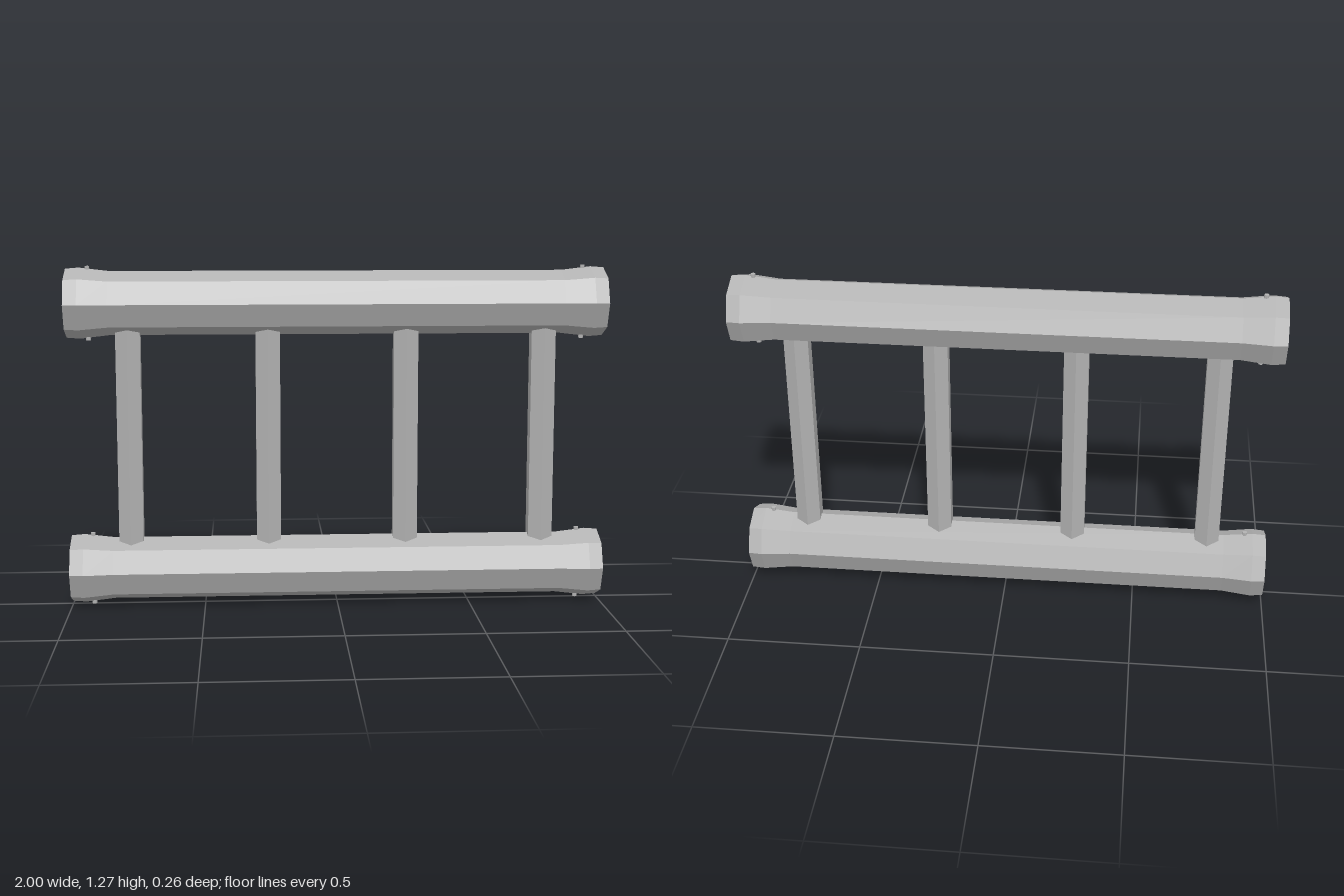
import * as THREE from 'three';

const CENTRE = 0.137; // height of the lower rail's axis
const SPACING = 1;    // distance between the two rails

export function createModel() {
  const group = new THREE.Group();
  group.name = 'ladder';
  const grey = new THREE.MeshStandardMaterial({ color: 0xb2b2b2, flatShading: true });
  grey.name = 'grey metal';

  const add = (name, geometry, x, y) => {
    const mesh = new THREE.Mesh(geometry, grey);
    mesh.name = name;
    mesh.position.set(x, y, 0);
    group.add(mesh);
  };

  // Octagonal hollow rail with flared ends: closed profile of [radius, position]
  const outer = [[0.127, 1], [0.131, 0.95], [0.118, 0.84]];
  const profile = [
    ...outer.map(([r, p]) => [r, -p]),
    ...[...outer].reverse(),
    [0.081, 1], [0.081, -1], [0.127, -1],
  ].map(([r, p]) => new THREE.Vector2(r, p));
  const railGeometry = new THREE.LatheGeometry(profile, 8).rotateZ(-Math.PI / 2);

  // Thin pin that passes vertically through each rail end
  const pinGeometry = new THREE.CylinderGeometry(0.009, 0.009, 2 * CENTRE, 8);

  for (const [label, y] of [['lower', CENTRE], ['upper', CENTRE + SPACING]]) {
    add(label + 'Rail', railGeometry, 0, y);
    for (const x of [-0.92, 0.92]) add(label + 'Pin', pinGeometry, x, y);
  }

  // Hexagonal rungs, sunk into the rail walls
  const rungGeometry = new THREE.CylinderGeometry(0.0525, 0.0525, SPACING - 0.18, 6);
  for (const x of [-0.775, -0.258, 0.258, 0.775]) {
    add('rung', rungGeometry, x, CENTRE + SPACING / 2);
  }
  return group;
}
